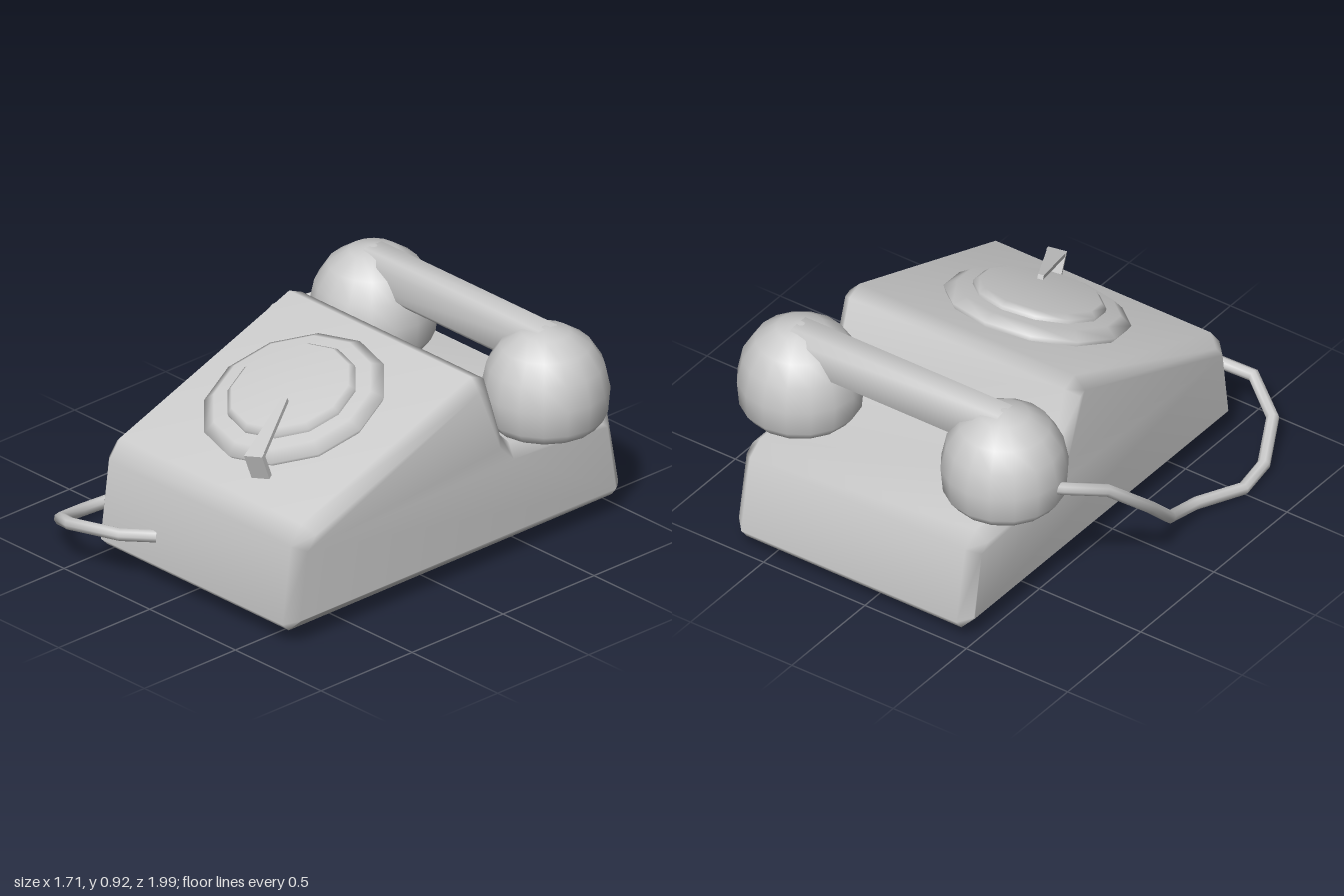
import * as THREE from 'three';
import { mergeVertices } from 'three/addons/utils/BufferGeometryUtils.js';

const material = new THREE.MeshStandardMaterial({ color: 0xcccccc });

// Weld vertices and use area-weighted normals: flat faces, soft chamfers.
function soften(geometry) {
  geometry.deleteAttribute('uv');
  geometry.deleteAttribute('normal');
  const welded = mergeVertices(geometry, 1e-4);
  welded.computeVertexNormals();
  return welded;
}

function addMesh(parent, name, geometry) {
  const mesh = new THREE.Mesh(geometry, material);
  mesh.name = name;
  parent.add(mesh);
  return mesh;
}

// Side profile given as [z, y] points, extruded along x from x0 to x1 with chamfered ends.
function sideExtrude(profile, x0, x1, bevel) {
  const shape = new THREE.Shape(profile.map(([z, y]) => new THREE.Vector2(-z, y)));
  const geometry = new THREE.ExtrudeGeometry(shape, {
    depth: x1 - x0 - 2 * bevel, bevelEnabled: bevel > 0, bevelSegments: 1,
    bevelSize: bevel, bevelThickness: bevel, bevelOffset: -bevel,
  });
  geometry.rotateY(Math.PI / 2).translate(x0 + bevel, 0, 0);
  return soften(geometry);
}

function lathe(profile, sides) {
  return soften(new THREE.LatheGeometry(profile.map(([r, y]) => new THREE.Vector2(r, y)), sides));
}

// Straight-sided path with mitred corners, one tube segment per side.
class Polyline extends THREE.Curve {
  constructor(points) {
    super();
    this.points = points;
  }
  getPoint(t, target = new THREE.Vector3()) {
    const last = this.points.length - 1;
    const i = Math.min(Math.floor(t * last), last - 1);
    return target.lerpVectors(this.points[i], this.points[i + 1], t * last - i);
  }
  getPointAt(t, target) { return this.getPoint(t, target); }
  getTangentAt(t, target) { return this.getTangent(t, target); }
}

export function createModel() {
  const model = new THREE.Group();
  model.name = 'telephone';

  // Wedge-shaped housing with a low shelf at the back
  addMesh(model, 'housing', sideExtrude([
    [0.81, 0.065], [0.845, 0.1], [0.8, 0.435], [0.74, 0.515],
    [-0.19, 0.855], [-0.26, 0.825], [-0.35, 0.54], [-0.4, 0.49],
    [-0.87, 0.49], [-0.94, 0.435], [-1.0, 0.11], [-0.965, 0.065],
  ], -0.5, 0.66, 0.05));

  // Handset: two round ends joined by a chamfered bar
  const handset = new THREE.Group();
  handset.name = 'handset';
  model.add(handset);
  const endProfile = [
    [0, 0.487], [0.16, 0.487], [0.215, 0.505], [0.25, 0.55], [0.26, 0.66],
    [0.238, 0.765], [0.185, 0.848], [0.1, 0.906], [0, 0.925],
  ];
  for (const [name, x] of [['rightEnd', -0.415], ['leftEnd', 0.59]]) {
    addMesh(handset, name, lathe(endProfile, 16)).position.set(x, 0, -0.62);
  }
  addMesh(handset, 'handle', sideExtrude([
    [-0.54, 0.775], [-0.54, 0.885], [-0.575, 0.922], [-0.67, 0.922],
    [-0.71, 0.885], [-0.71, 0.775], [-0.67, 0.74], [-0.575, 0.74],
  ], -0.42, 0.6, 0));

  // Dial lying on the sloping face
  const dial = new THREE.Group();
  dial.name = 'dial';
  dial.position.set(0.06, 0.693, 0.255);
  dial.rotation.x = Math.atan2(0.34, 0.93);
  model.add(dial);
  addMesh(dial, 'dialBase', lathe([[0.36, -0.02], [0.385, 0.022], [0.335, 0.055], [0, 0.055]], 12));
  addMesh(dial, 'dialPlate', lathe([[0.27, 0.04], [0.273, 0.07], [0.25, 0.09], [0, 0.09]], 12));

  // Finger stop: a post at the rim and a tapering arm reaching over the plate
  const stop = new THREE.Group();
  stop.name = 'fingerStop';
  stop.position.set(0.06, 0, 0.08);
  stop.rotation.y = 0.4;
  dial.add(stop);
  const armShape = new THREE.Shape([
    new THREE.Vector2(-0.012, 0), new THREE.Vector2(0.012, 0),
    new THREE.Vector2(0.04, 0.35), new THREE.Vector2(-0.04, 0.35),
  ]);
  const arm = new THREE.ExtrudeGeometry(armShape, { depth: 0.02, bevelEnabled: false });
  arm.rotateX(Math.PI / 2).translate(0, 0.118, 0);
  addMesh(stop, 'stopArm', arm);
  addMesh(stop, 'stopPost', new THREE.BoxGeometry(0.08, 0.128, 0.025)).position.set(0, 0.054, 0.3375);

  // Cord from the right end of the handset round to the front of the housing
  const cordPoints = [
    [-0.6, 0.65, -0.66], [-0.67, 0.62, -0.58], [-0.78, 0.57, -0.43], [-0.83, 0.37, -0.2],
    [-0.725, 0.11, 0.08], [-0.715, 0.06, 0.27], [-0.785, 0.027, 0.5], [-0.77, 0.045, 0.66],
    [-0.67, 0.115, 0.86], [-0.5, 0.19, 0.965], [-0.25, 0.218, 0.925], [-0.155, 0.21, 0.82],
  ].map((p) => new THREE.Vector3(...p));
  addMesh(model, 'cord', new THREE.TubeGeometry(new Polyline(cordPoints), cordPoints.length - 1, 0.027, 8));

  return model;
}
